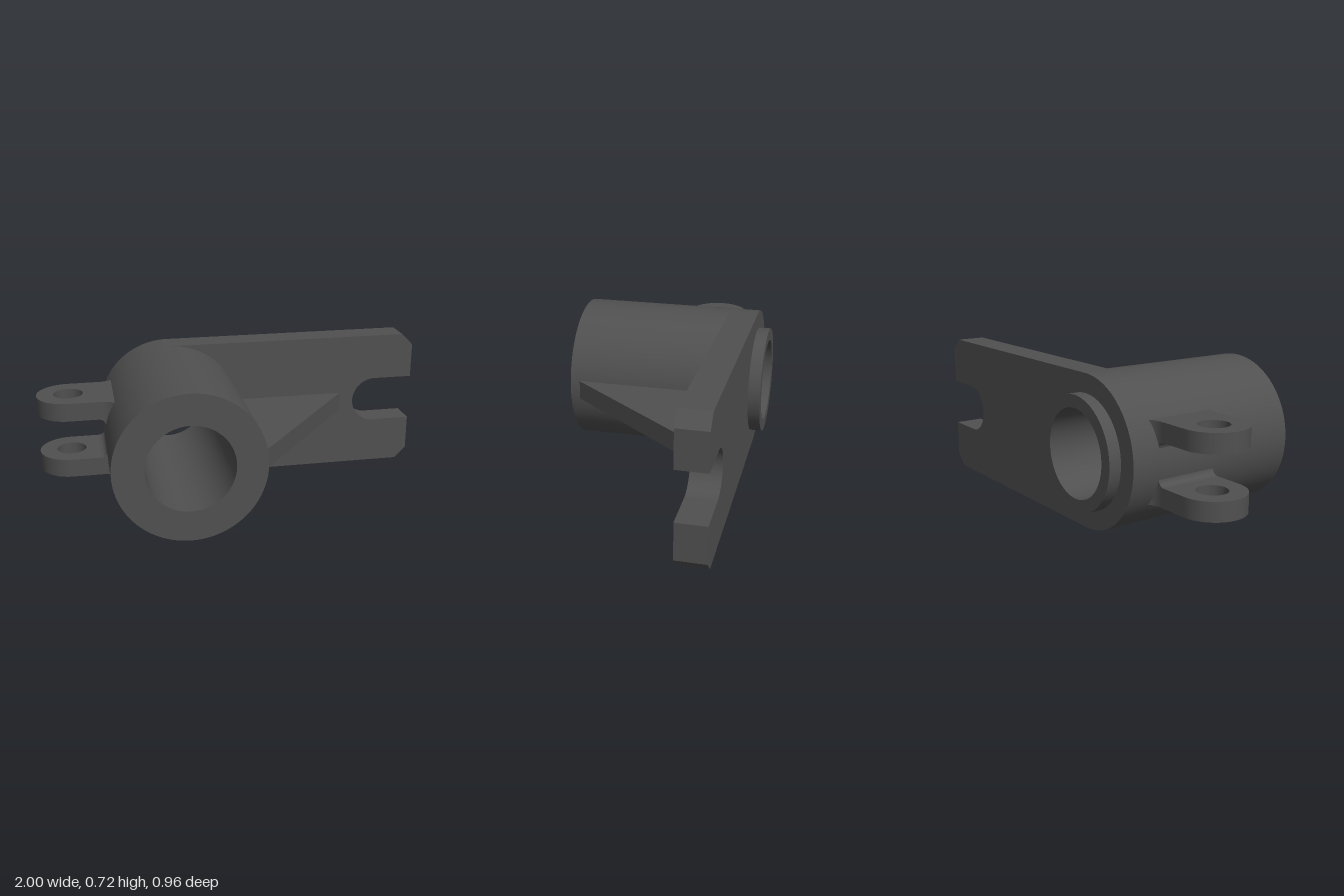
import * as THREE from 'three';
import { toCreasedNormals } from 'three/addons/utils/BufferGeometryUtils.js';

const CX = -0.32, CY = 0.36; // bore axis
const PLATE_Z = -0.276; // front face of the arm plate
const material = new THREE.MeshStandardMaterial({ color: 0x505050 });

function addPart(group, name, geometry) {
  const mesh = new THREE.Mesh(toCreasedNormals(geometry, 0.5), material);
  mesh.name = name;
  group.add(mesh);
}

// Extrude an x/y outline between two z values
function extrudeZ(shape, z0, z1) {
  return new THREE.ExtrudeGeometry(shape, { depth: z1 - z0, bevelEnabled: false, curveSegments: 40 })
    .translate(0, 0, z0);
}

// Extrude a plan outline (x, -z) between two y values
function extrudeY(shape, y0, y1) {
  return extrudeZ(shape, y0, y1).rotateX(-Math.PI / 2);
}

function circleHole(x, y, r) {
  return new THREE.Path().absarc(x, y, r, 0, Math.PI * 2, true);
}

export function createModel() {
  const group = new THREE.Group();
  group.name = 'bracket';

  // Bored sleeve with the smaller boss on the back
  const profile = [
    [0.21, -0.48], [0.27, -0.48], [0.27, PLATE_Z], [0.36, PLATE_Z],
    [0.36, 0.48], [0.21, 0.48], [0.21, -0.48],
  ].map(([r, z]) => new THREE.Vector2(r, z));
  addPart(group, 'sleeve', new THREE.LatheGeometry(profile, 80)
    .rotateX(Math.PI / 2).translate(CX, CY, 0));

  // Arm plate: round end, chamfered tip, open slot
  const plate = new THREE.Shape();
  plate.moveTo(CX, 0);
  plate.lineTo(0.94, 0);
  plate.lineTo(1, 0.06);
  plate.lineTo(1, 0.24);
  plate.lineTo(0.795, 0.24);
  plate.absarc(0.795, CY, 0.12, -Math.PI / 2, -Math.PI * 1.5, true);
  plate.lineTo(1, 0.48);
  plate.lineTo(1, 0.66);
  plate.lineTo(0.94, 0.72);
  plate.lineTo(CX, 0.72);
  plate.absarc(CX, CY, 0.36, Math.PI / 2, Math.PI * 1.5, false);
  plate.holes.push(circleHole(CX, CY, 0.27));
  addPart(group, 'armPlate', extrudeZ(plate, -0.42, PLATE_Z));

  // Triangular rib between sleeve and plate
  const rib = new THREE.Shape();
  rib.moveTo(0, 0.28);
  rib.lineTo(0, -0.481);
  rib.lineTo(0.602, -PLATE_Z);
  rib.lineTo(0.602, 0.28);
  addPart(group, 'rib', extrudeY(rib, 0.312, 0.408));

  // Pair of eye lugs, flared where they meet the sleeve
  const lug = new THREE.Shape();
  lug.moveTo(-0.845, -0.03);
  lug.lineTo(-0.695, -0.03);
  lug.quadraticCurveTo(-0.655, -0.03, -0.625, -0.055);
  lug.lineTo(-0.58, -0.055);
  lug.lineTo(-0.58, 0.302);
  lug.lineTo(-0.625, 0.302);
  lug.quadraticCurveTo(-0.655, 0.28, -0.695, 0.28);
  lug.lineTo(-0.845, 0.28);
  lug.absarc(-0.845, 0.125, 0.155, Math.PI / 2, Math.PI * 1.5, false);
  lug.holes.push(circleHole(-0.845, 0.125, 0.072));
  addPart(group, 'lowerLug', extrudeY(lug, 0.17, 0.26));
  addPart(group, 'upperLug', extrudeY(lug, 0.46, 0.55));

  // Fillets in the root between the lugs
  const fillet = new THREE.Shape();
  fillet.moveTo(-0.71, 0.26);
  fillet.lineTo(-0.6, 0.26);
  fillet.lineTo(-0.6, 0.46);
  fillet.lineTo(-0.71, 0.46);
  fillet.quadraticCurveTo(-0.675, 0.46, -0.672, 0.425);
  fillet.lineTo(-0.672, 0.295);
  fillet.quadraticCurveTo(-0.675, 0.26, -0.71, 0.26);
  addPart(group, 'lugFillet', extrudeZ(fillet, -0.28, 0.03));

  return group;
}
